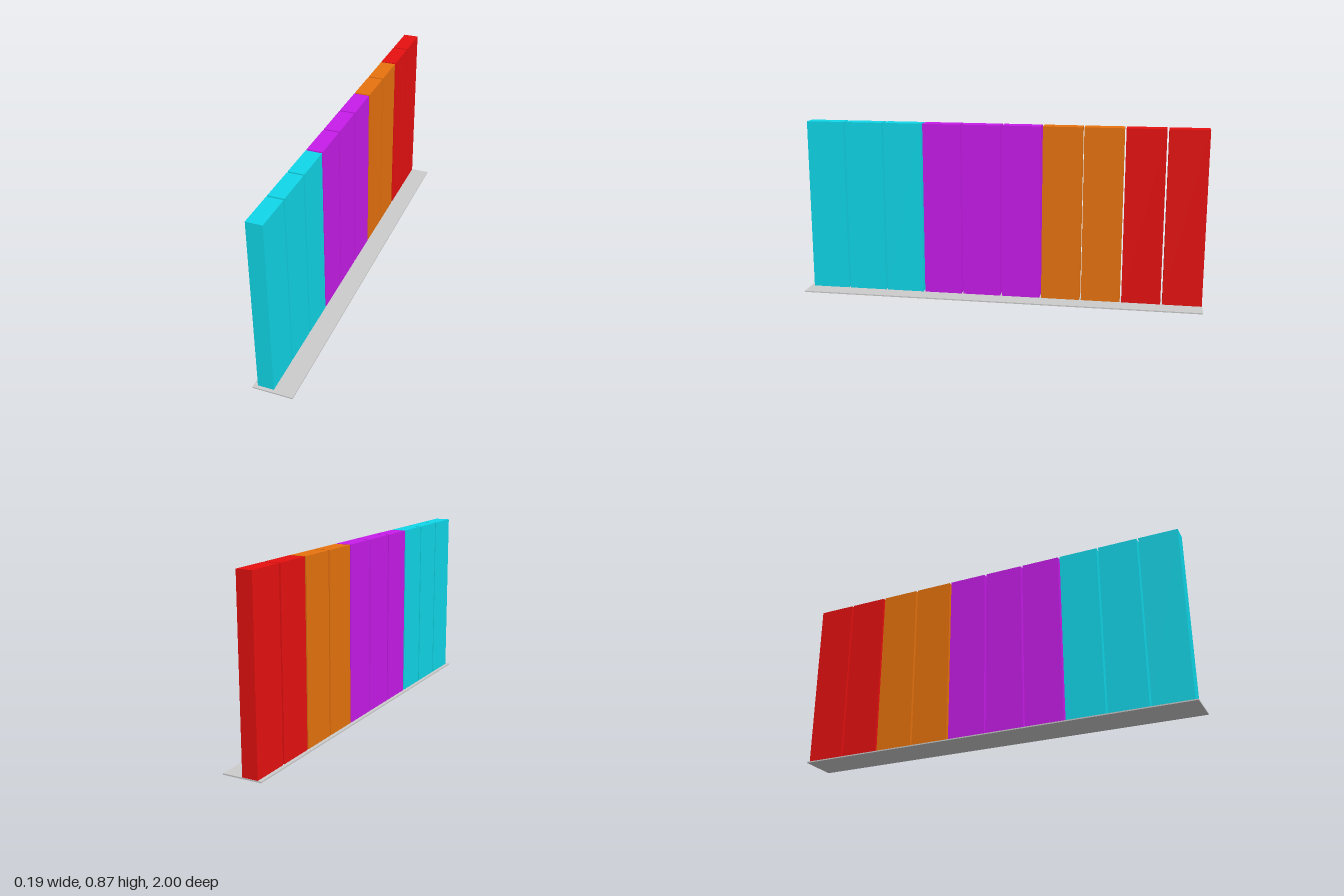
import * as THREE from 'three';

const BASE_H = 0.006;
const TOP = 0.868;
const PITCH = 0.199;
const WIDTH = 0.19;

// panel colours from back to front
const RED = 0xe81010, ORANGE = 0xe8730e, PURPLE = 0xc81cea, CYAN = 0x10d8ea;
const COLORS = [RED, RED, ORANGE, ORANGE, PURPLE, PURPLE, PURPLE, CYAN, CYAN, CYAN];

function box(name, color, [x0, x1], [y0, y1], [z0, z1]) {
  const mesh = new THREE.Mesh(
    new THREE.BoxGeometry(x1 - x0, y1 - y0, z1 - z0),
    new THREE.MeshStandardMaterial({ color })
  );
  mesh.position.set((x0 + x1) / 2, (y0 + y1) / 2, (z0 + z1) / 2);
  mesh.name = name;
  return mesh;
}

export function createModel() {
  const group = new THREE.Group();
  group.name = 'panelRow';

  // thin floor plate
  group.add(box('basePlate', 0xcccccc, [-0.095, 0.095], [0, BASE_H], [-1, 1]));

  // row of upright panels with narrow gaps
  COLORS.forEach((color, i) => {
    const z = -0.998 + i * PITCH;
    group.add(box(`panel${i + 1}`, color, [-0.077, -0.001], [BASE_H, TOP], [z, z + WIDTH]));
  });

  return group;
}
